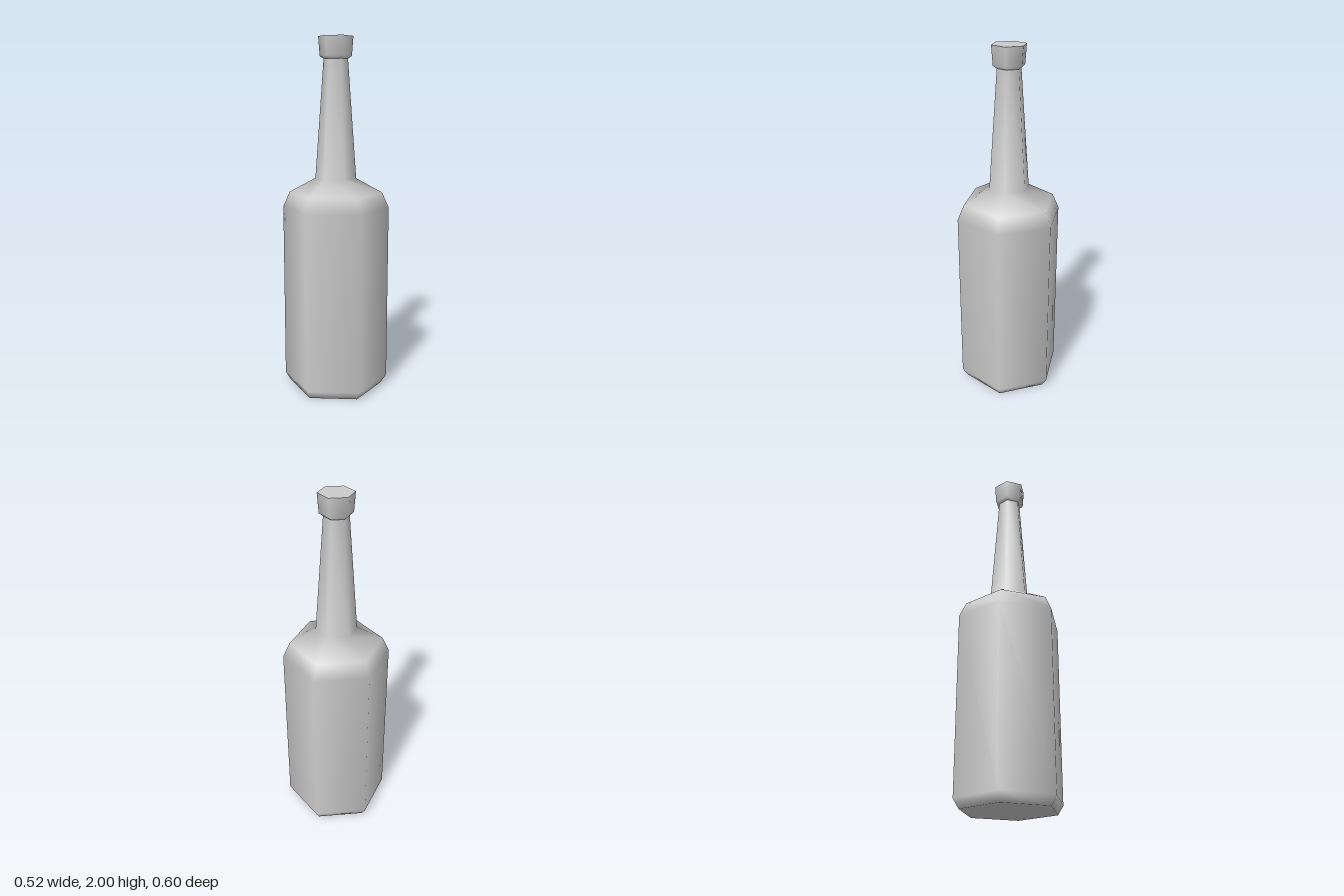
import * as THREE from 'three';

const SIDES = 6;

export function createModel() {
  const group = new THREE.Group();
  group.name = 'bottle';
  const material = new THREE.MeshStandardMaterial({ color: 0xcccccc });

  const add = (name, geometry) => {
    const mesh = new THREE.Mesh(geometry, material);
    mesh.name = name;
    group.add(mesh);
  };
  // Six-sided turned part with smooth normals; profile is [radius, height], bottom up
  const turned = (profile) =>
    new THREE.LatheGeometry(profile.map(([r, y]) => new THREE.Vector2(r, y)), SIDES);

  // Base, body, shoulder and tapering neck
  add('body', turned([
    [0, 0], [0.268, 0], [0.3, 0.05], [0.3, 1.06],
    [0.262, 1.145], [0.115, 1.225], [0.067, 1.88],
  ]));

  // Flared lip around the mouth
  add('lip', turned([[0.067, 1.88], [0.088, 1.895], [0.096, 2]]));

  // Flat closed top, corners aligned with the lip
  const top = new THREE.CircleGeometry(0.096, SIDES);
  top.rotateX(-Math.PI / 2).rotateY(Math.PI / SIDES).translate(0, 2, 0);
  add('cap', top);

  return group;
}
